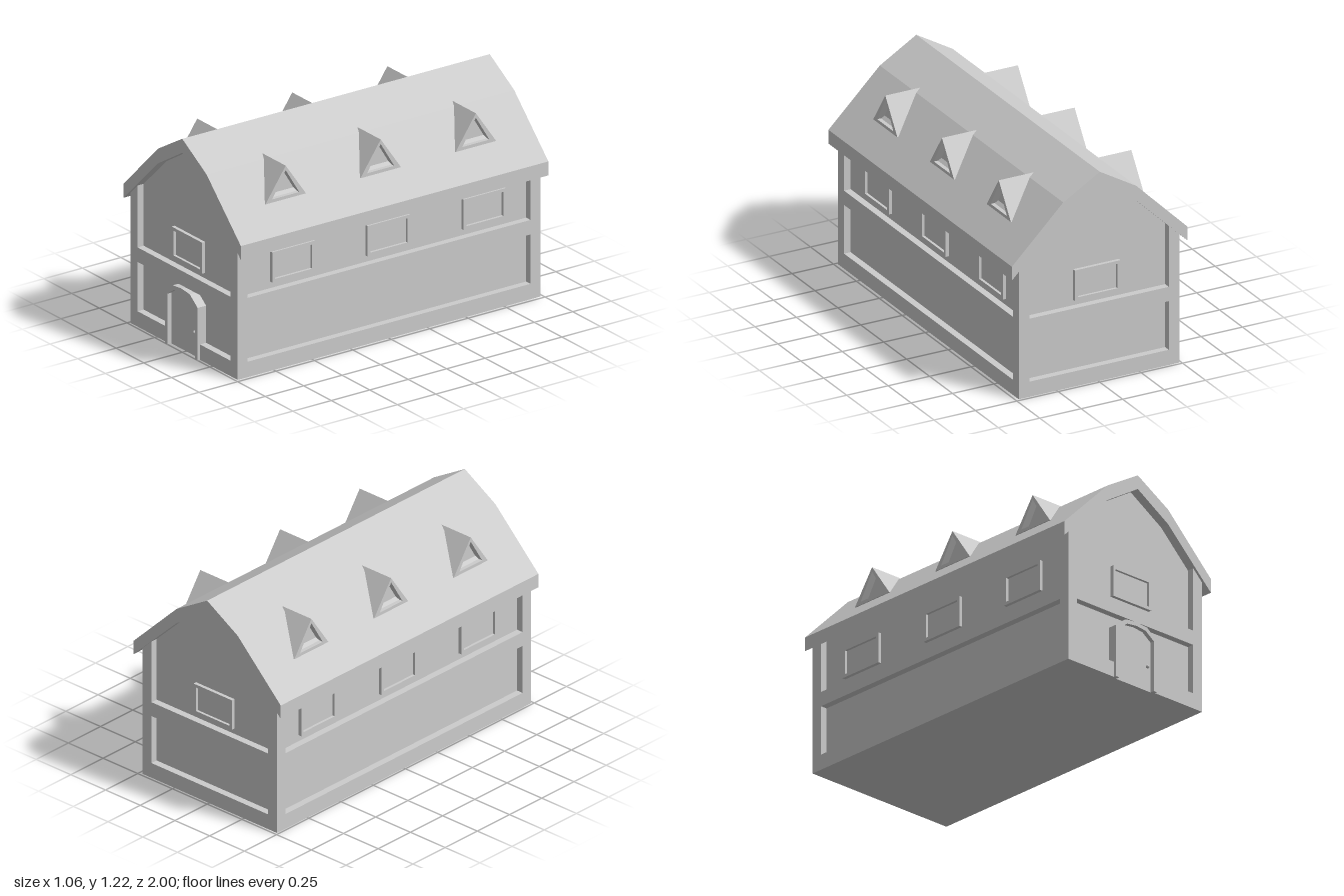
import * as THREE from 'three';

const mat = new THREE.MeshStandardMaterial({ color: 0xcccccc, flatShading: true });
const CX = -0.005;            // body centre line
const HX = 0.485, HZ = 0.985; // half size to the outside of the timber frame
const WX = 0.445, WZ = 0.945; // half size of the recessed walls
const POST = 0.065;

function add(parent, name, geo, x = 0, y = 0, z = 0) {
  const mesh = new THREE.Mesh(geo, mat);
  mesh.name = name;
  mesh.position.set(x, y, z);
  parent.add(mesh);
  return mesh;
}

// Box given by its lower and upper corners
function block(parent, name, x0, x1, y0, y1, z0, z1) {
  return add(parent, name, new THREE.BoxGeometry(x1 - x0, y1 - y0, z1 - z0),
    (x0 + x1) / 2, (y0 + y1) / 2, (z0 + z1) / 2);
}

// Outline (with optional hole) extruded from z0 to z1
function prism(parent, name, pts, z0, z1, hole) {
  const vec = (list) => list.map(([x, y]) => new THREE.Vector2(x, y));
  const shape = new THREE.Shape(vec(pts));
  if (hole) shape.holes.push(new THREE.Path(vec(hole)));
  const geo = new THREE.ExtrudeGeometry(shape, { depth: z1 - z0, bevelEnabled: false });
  return add(parent, name, geo, 0, 0, z0);
}

const rect = (w, h) => [[-w / 2, -h / 2], [w / 2, -h / 2], [w / 2, h / 2], [-w / 2, h / 2]];

// Underside of the steep roof slope at a given x
const eaveY = (x) => 1.005 - (Math.abs(x) - 0.22) * (0.3 / 0.31);

// Framed window, its back at local z = 0
function makeWindow(w, h) {
  const g = new THREE.Group();
  g.name = 'window';
  prism(g, 'windowFrame', rect(w, h), -0.01, 0.02, rect(w - 0.036, h - 0.036));
  prism(g, 'windowPane', rect(w - 0.03, h - 0.03), -0.01, 0.005);
  return g;
}

// Triangular roof dormer facing local +z
function makeDormer() {
  const g = new THREE.Group();
  g.name = 'dormer';
  const tri = [[-0.132, 0.918], [0.132, 0.918], [0, 1.108]];
  const opening = [[-0.088, 0.936], [0.088, 0.936], [0, 1.082]];
  prism(g, 'dormerFrame', tri, 0.36, 0.4, opening);
  prism(g, 'dormerBody', tri, 0.17, 0.36);
  return g;
}

export function createModel() {
  const house = new THREE.Group();
  house.name = 'house';

  // Gambrel roof shell
  prism(house, 'roof', [
    [0, 1.22], [-0.22, 1.09], [-0.53, 0.785], [-0.53, 0.705], [-0.22, 1.005],
    [0, 1.14], [0.22, 1.005], [0.53, 0.705], [0.53, 0.785], [0.22, 1.09],
  ], -1, 1);

  // Recessed walls with both gables
  const l = CX - WX, r = CX + WX;
  prism(house, 'walls', [
    [l, 0], [r, 0], [r, eaveY(r) + 0.01], [0.22, 1.015], [0, 1.15],
    [-0.22, 1.015], [l, eaveY(l) + 0.01],
  ], -WZ, WZ);

  // Corner posts cut to the roof slope
  for (const sx of [-1, 1]) {
    const a = CX + sx * HX, b = CX + sx * (HX - POST);
    const outline = [[a, 0], [b, 0], [b, eaveY(b) + 0.01], [a, eaveY(a) + 0.01]];
    prism(house, 'cornerPost', outline, HZ - POST, HZ);
    prism(house, 'cornerPost', outline, -HZ, POST - HZ);
  }

  // Horizontal beams, the front sill broken by the door
  const x0 = CX - HX + POST, x1 = CX + HX - POST, zi = HZ - POST;
  for (const [name, y0, y1] of [['sillBeam', 0, 0.088], ['middleBeam', 0.37, 0.453]]) {
    block(house, name, CX + WX - 0.02, CX + HX, y0, y1, -zi, zi);
    block(house, name, CX - HX, CX - WX + 0.02, y0, y1, -zi, zi);
    block(house, name, x0, x1, y0, y1, -HZ, -WZ + 0.02);
    if (y0 > 0) {
      block(house, name, x0, x1, y0, y1, WZ - 0.02, HZ);
    } else {
      block(house, name, x0, -0.15, y0, y1, WZ - 0.02, HZ);
      block(house, name, 0.135, x1, y0, y1, WZ - 0.02, HZ);
    }
  }

  // Arched door with frame and knob
  const door = new THREE.Group();
  door.name = 'door';
  door.position.x = -0.009;
  const inner = [[0.125, 0], [0.125, 0.29], [0.066, 0.332], [0, 0.34],
    [-0.066, 0.332], [-0.125, 0.29], [-0.125, 0]];
  const outer = [[-0.148, 0], [-0.148, 0.3], [-0.077, 0.354], [0, 0.362],
    [0.077, 0.354], [0.148, 0.3], [0.148, 0]];
  prism(door, 'doorFrame', [...outer, ...inner], WZ - 0.01, 1);
  prism(door, 'doorPanel', inner, WZ - 0.01, 0.975);
  add(door, 'doorKnob', new THREE.SphereGeometry(0.01, 10, 8), 0.097, 0.14, 0.982);
  house.add(door);

  // Gable windows, front and back
  for (const s of [1, -1]) {
    const win = makeWindow(0.276, 0.177);
    win.position.set(-0.007, 0.573, s * WZ);
    win.rotation.y = s > 0 ? 0 : Math.PI;
    house.add(win);
  }

  // Side windows and dormers on both long sides
  for (const s of [1, -1]) {
    for (const z of [0.606, -0.013, -0.637]) {
      const win = makeWindow(0.277, 0.174);
      win.position.set(CX + s * WX, 0.577, z);
      win.rotation.y = s * Math.PI / 2;
      house.add(win);
    }
    for (const z of [0.615, -0.003, -0.622]) {
      const dormer = makeDormer();
      dormer.position.z = z;
      dormer.rotation.y = s * Math.PI / 2;
      house.add(dormer);
    }
  }
  return house;
}
